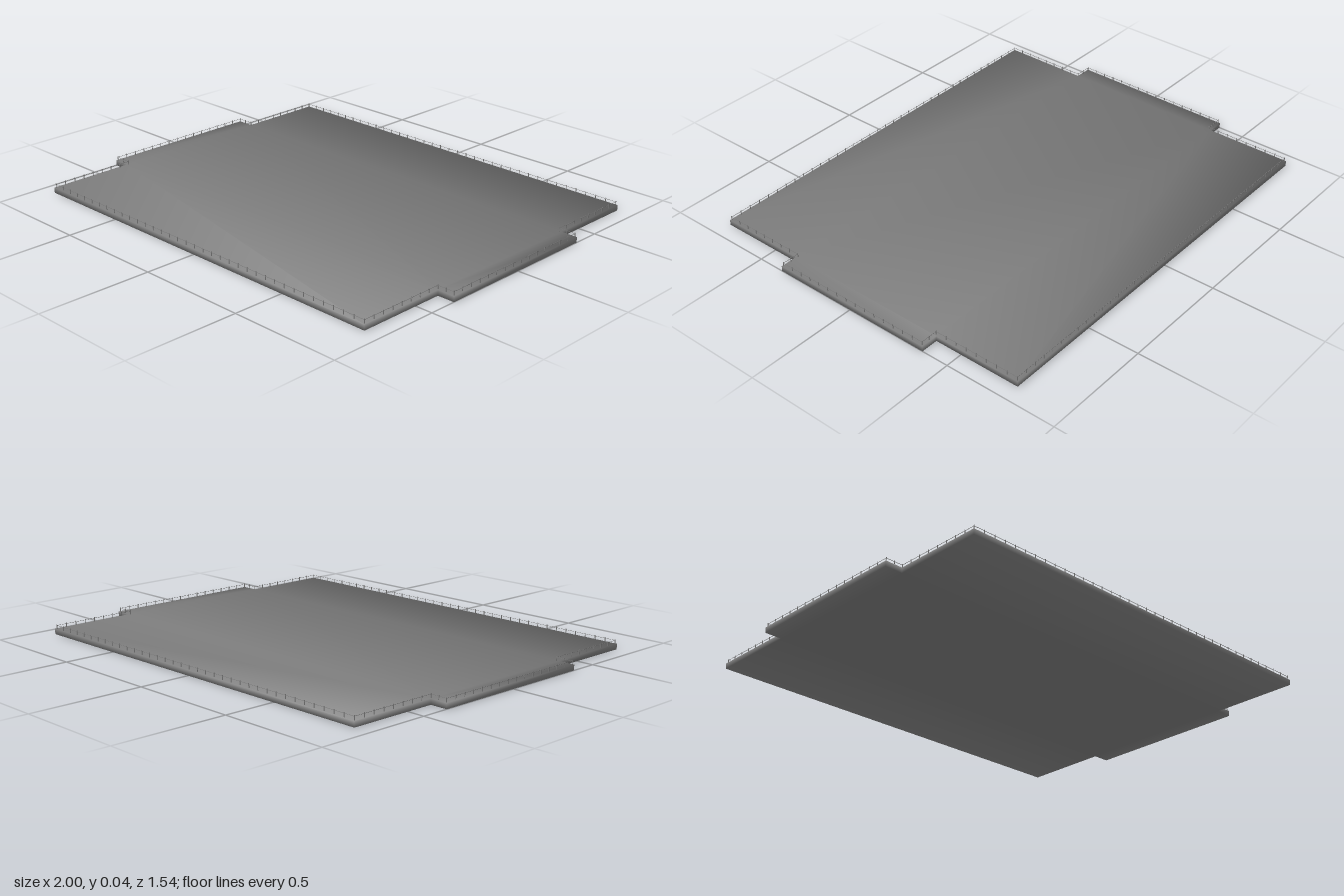
import * as THREE from 'three';

const SLAB = 0.024, RAIL_TOP = 0.043, INSET = 0.006;

// Closed plan outline (x, z): a wide deck with four notched corners
function outline(inset = 0) {
  const X = 1 - inset, x = 0.923 - inset, Z = 0.772 - inset, z = 0.378 - inset;
  return [[x, Z], [x, z], [X, z], [X, -z], [x, -z], [x, -Z],
    [-x, -Z], [-x, -z], [-X, -z], [-X, z], [-x, z], [-x, Z]]
    .map(([a, b]) => new THREE.Vector2(a, b));
}

// Deck with shared corners and angle-weighted smooth normals
function deckGeometry() {
  const points = outline(), n = points.length;
  const positions = [], normals = [], index = [];
  for (const up of [1, -1]) {
    points.forEach((p, i) => {
      positions.push(p.x, up > 0 ? SLAB : 0, p.y);
      // The flat face weighs three times more at the inner notch corners
      const weight = i % 3 === 1 ? 3 : 1;
      normals.push(...new THREE.Vector3(Math.sign(p.x), up * weight, Math.sign(p.y)).normalize());
    });
  }
  const faces = [[0, 1, 10], [0, 10, 11], [5, 6, 7], [4, 5, 7], [1, 2, 3],
    [1, 3, 4], [7, 8, 9], [7, 9, 10], [1, 4, 7], [1, 7, 10]];
  for (const [a, b, c] of faces) index.push(a, b, c, a + n, c + n, b + n);
  for (let i = 0; i < n; i++) {
    const j = (i + 1) % n;
    index.push(i + n, j + n, j, i + n, j, i);
  }
  const geometry = new THREE.BufferGeometry();
  geometry.setAttribute('position', new THREE.Float32BufferAttribute(positions, 3));
  geometry.setAttribute('normal', new THREE.Float32BufferAttribute(normals, 3));
  geometry.setIndex(index);
  return geometry;
}

export function createModel() {
  const group = new THREE.Group();
  const material = new THREE.MeshStandardMaterial({ color: 0x7a7a7a });

  // Solid deck
  const deck = new THREE.Mesh(deckGeometry(), material);
  deck.name = 'deck';
  group.add(deck);

  // Railing: evenly spaced posts and a thin handrail along every edge
  const railing = new THREE.Group();
  railing.name = 'railing';
  group.add(railing);
  const postGeometry = new THREE.BoxGeometry(0.0025, RAIL_TOP - SLAB, 0.0025);
  const points = outline(INSET);
  points.forEach((a, i) => {
    const b = points[(i + 1) % points.length];
    const length = a.distanceTo(b);

    const rail = new THREE.Mesh(new THREE.BoxGeometry(length, 0.0012, 0.0012), material);
    rail.name = 'handrail';
    rail.position.set((a.x + b.x) / 2, RAIL_TOP - 0.004, (a.y + b.y) / 2);
    rail.rotation.y = -Math.atan2(b.y - a.y, b.x - a.x);
    railing.add(rail);

    const count = Math.round(length / 0.051);
    for (let k = 0; k < count; k++) {
      const p = a.clone().lerp(b, k / count);
      const post = new THREE.Mesh(postGeometry, material);
      post.name = 'railPost';
      post.position.set(p.x, (SLAB + RAIL_TOP) / 2, p.y);
      railing.add(post);
    }
  });
  return group;
}
